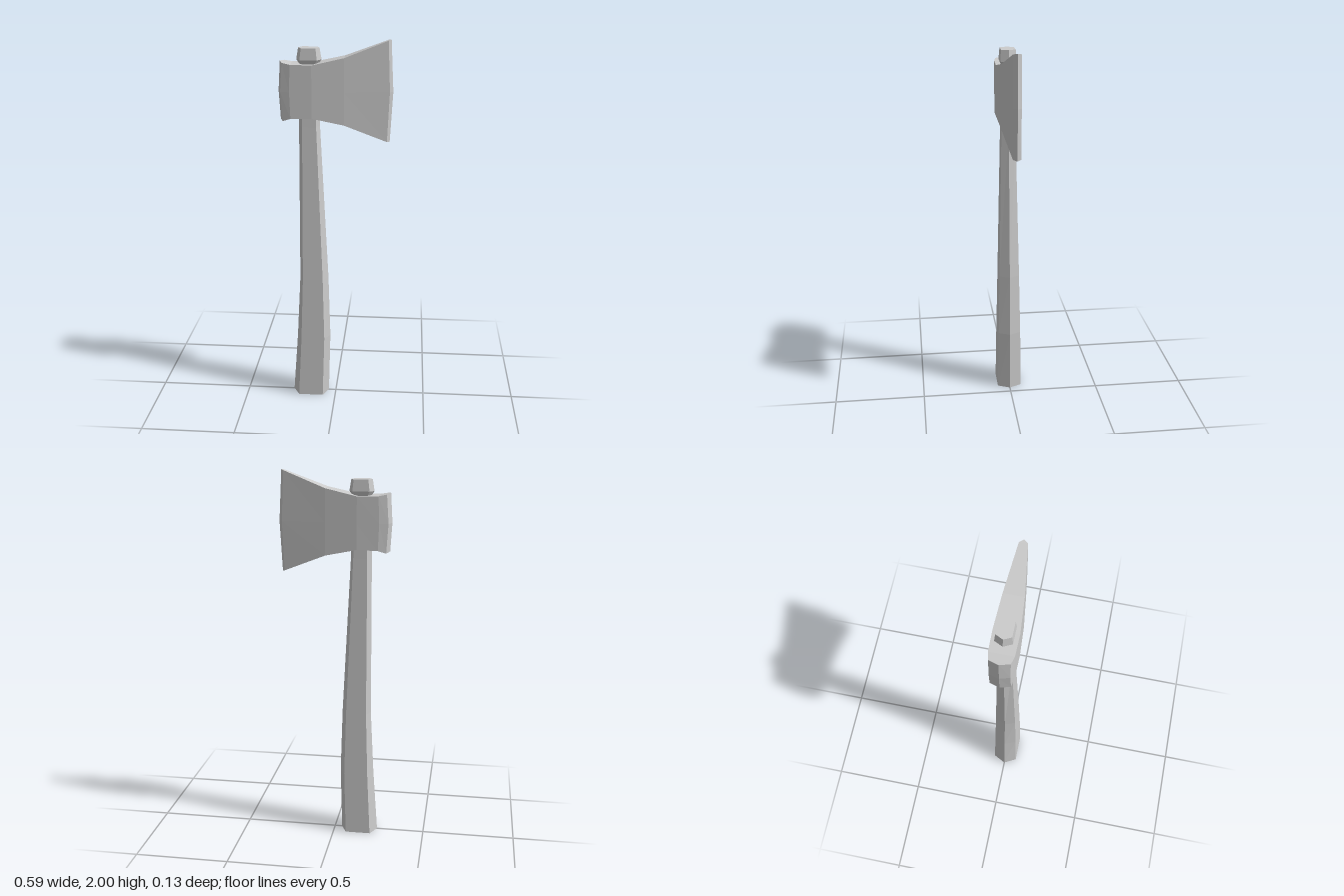
import * as THREE from 'three';

const material = new THREE.MeshStandardMaterial({ color: 0xcccccc, flatShading: true });

// Skins a list of rings; each ring runs counter-clockwise seen from the direction of travel.
function loft(rings, name, capped) {
  const pos = [];
  const tri = (a, b, c) => {
    const area = b.clone().sub(a).cross(c.clone().sub(a)).length();
    if (area > 1e-8) for (const p of [a, b, c]) pos.push(p.x, p.y, p.z);
  };
  const n = rings[0].length;
  for (let i = 0; i < rings.length - 1; i++) {
    for (let j = 0; j < n; j++) {
      const k = (j + 1) % n;
      const a = rings[i][j], b = rings[i][k], c = rings[i + 1][k], d = rings[i + 1][j];
      tri(a, b, c);
      tri(a, c, d);
    }
  }
  if (capped) {
    const first = rings[0], last = rings[rings.length - 1];
    for (let j = 1; j < n - 1; j++) {
      tri(first[0], first[j + 1], first[j]);
      tri(last[0], last[j], last[j + 1]);
    }
  }
  const geometry = new THREE.BufferGeometry();
  geometry.setAttribute('position', new THREE.Float32BufferAttribute(pos, 3));
  geometry.computeVertexNormals();
  const mesh = new THREE.Mesh(geometry, material);
  mesh.name = name;
  return mesh;
}

const v = (x, y, z) => new THREE.Vector3(x, y, z);

// Six-sided handle section: pointed at left and right, flat at front and back.
const handleRing = ([y, tipL, flatL, flatR, tipR, z]) => [
  v(tipR, y, 0), v(flatR, y, -z), v(flatL, y, -z),
  v(tipL, y, 0), v(flatL, y, z), v(flatR, y, z),
];

// Head section across x, with a middle row that bows outward at the two ends.
const headRing = ([x, xMid, bottom, top, z]) => {
  const mid = 1.735;
  return [
    v(x, top, -z), v(x, top, z), v(xMid, mid, z),
    v(x, bottom, z), v(x, bottom, -z), v(xMid, mid, -z),
  ];
};

export function createModel() {
  const group = new THREE.Group();
  group.name = 'axe';

  // Handle with a flared foot and a knob above the head:
  // y, left tip, left flat, right flat, right tip, half depth
  group.add(loft([
    [0, -0.24, -0.205, -0.07, -0.04, 0.067],
    [0.35, -0.215, -0.188, -0.06, -0.031, 0.062],
    [0.7, -0.197, -0.177, -0.068, -0.041, 0.055],
    [1.55, -0.193, -0.173, -0.1, -0.083, 0.037],
    [1.87, -0.187, -0.17, -0.107, -0.09, 0.033],
    [1.895, -0.203, -0.182, -0.094, -0.073, 0.043],
    [1.955, -0.193, -0.175, -0.1, -0.083, 0.038],
  ].map(handleRing), 'handle', true));

  // Head from the butt to the cutting edge:
  // x, middle x, bottom, top, half depth
  group.add(loft([
    [-0.288, -0.297, 1.587, 1.887, 0],
    [-0.272, -0.282, 1.583, 1.883, 0.051],
    [-0.23, -0.235, 1.597, 1.875, 0.061],
    [-0.12, -0.12, 1.6, 1.873, 0.063],
    [0.045, 0.045, 1.565, 1.91, 0.051],
    [0.267, 0.278, 1.475, 1.995, 0.021],
    [0.281, 0.295, 1.47, 2.0, 0],
  ].map(headRing), 'axeHead', false));

  return group;
}
